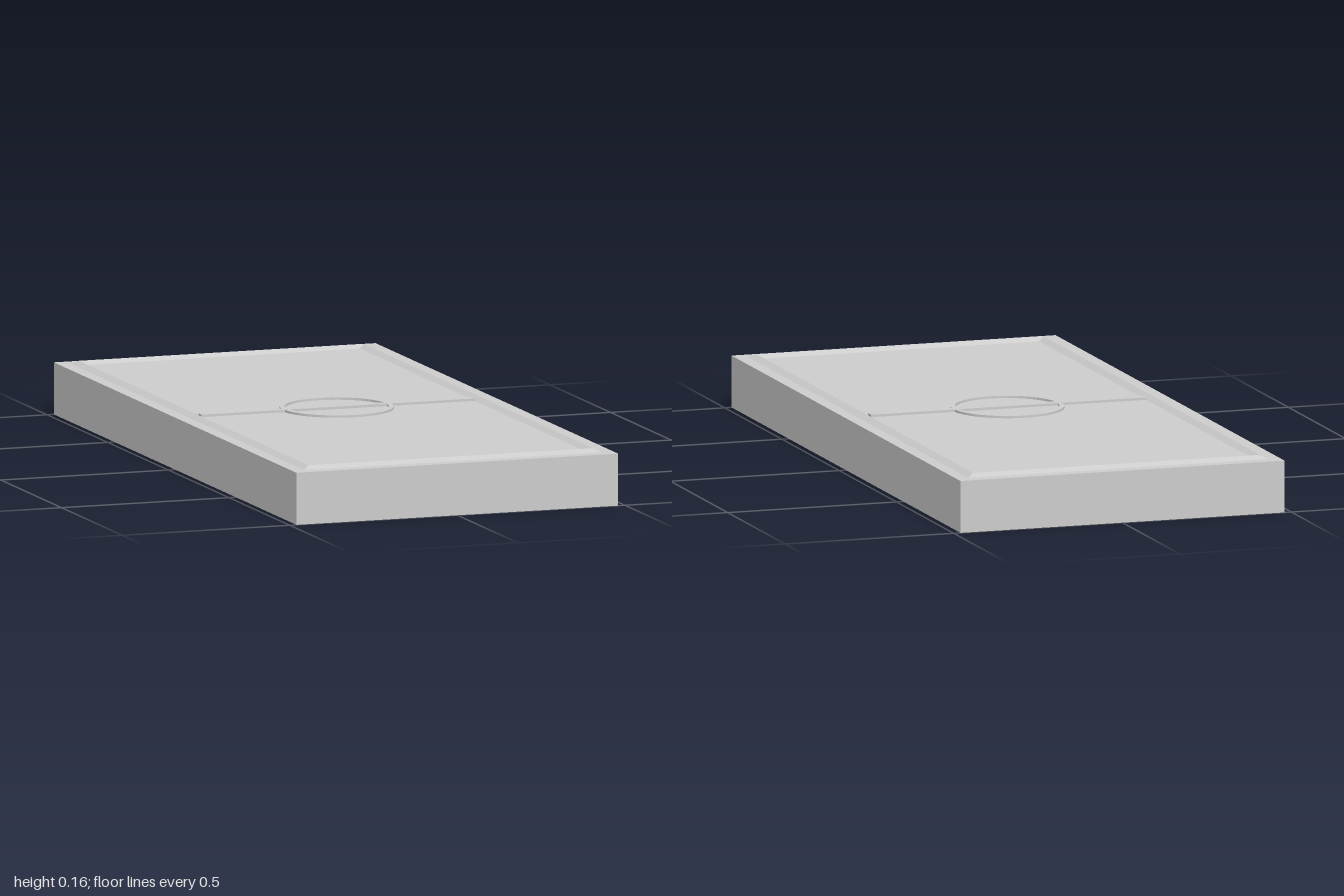
import * as THREE from 'three';

const HALF_X = 0.48, HALF_Z = 1, TOP = 0.148;

// Sweeps a profile of [inset from the edge, height] points around the rectangle, with mitred corners
function rectSweep(profile) {
  const corners = [[1, 1], [1, -1], [-1, -1], [-1, 1]];
  const point = ([inset, y], k) => {
    const [sx, sz] = corners[k % 4];
    return [sx * (HALF_X - inset), y, sz * (HALF_Z - inset)];
  };
  const positions = [];
  for (let i = 0; i < profile.length - 1; i++) {
    for (let k = 0; k < 4; k++) {
      const a = point(profile[i], k), b = point(profile[i], k + 1);
      const c = point(profile[i + 1], k + 1), d = point(profile[i + 1], k);
      positions.push(...a, ...b, ...c, ...a, ...c, ...d);
    }
  }
  const geometry = new THREE.BufferGeometry();
  geometry.setAttribute('position', new THREE.Float32BufferAttribute(positions, 3));
  geometry.computeVertexNormals();
  return geometry;
}

export function createModel() {
  const group = new THREE.Group();
  const material = new THREE.MeshStandardMaterial({ color: 0xcccccc });
  const add = (name, geometry) => {
    const mesh = new THREE.Mesh(geometry, material);
    mesh.name = name;
    group.add(mesh);
    return mesh;
  };

  // Slab with a groove running around its underside
  add('slab', rectSweep([
    [HALF_X, 0], [0.075, 0], [0.075, 0.13], [0.038, 0.13], [0.038, 0],
    [0, 0], [0, TOP], [HALF_X, TOP],
  ]));

  // Peaked border just inside the rim
  add('borderRidge', rectSweep([[0.036, TOP], [0.055, 0.158], [0.073, TOP]]));

  // Dividing bar across the middle
  const barHeight = 0.007, middleZ = 0.006;
  add('dividingBar', new THREE.BoxGeometry(0.816, barHeight, 0.025))
    .position.set(0, TOP + barHeight / 2, middleZ);

  // Centre ring
  const ring = new THREE.Shape().absarc(0, 0, 0.16, 0, Math.PI * 2);
  ring.holes.push(new THREE.Path().absarc(0, 0, 0.146, 0, Math.PI * 2, true));
  const ringGeometry = new THREE.ExtrudeGeometry(ring, {
    depth: barHeight - 0.0005, bevelEnabled: false, curveSegments: 48,
  });
  ringGeometry.rotateX(-Math.PI / 2);
  add('centreRing', ringGeometry).position.set(0, TOP, middleZ);

  return group;
}
